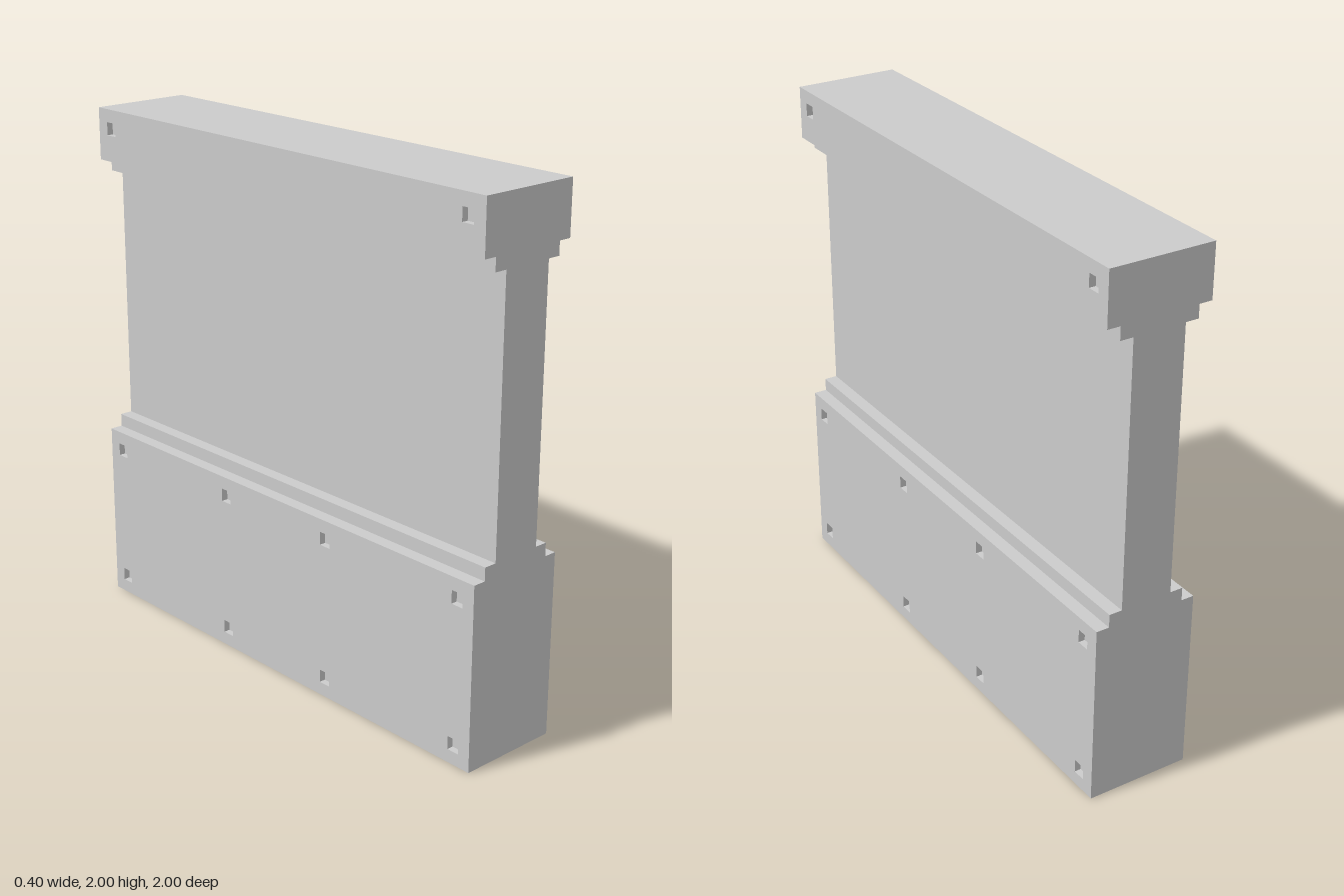
import * as THREE from 'three';

const LENGTH = 2, HOLE = 0.05, DEPTH = 0.025;
const material = new THREE.MeshStandardMaterial({ color: 0xcccccc, flatShading: true });

function rectangle(Type, cx, cy, w, h) {
  return new Type([[-1, -1], [1, -1], [1, 1], [-1, 1]]
    .map(([u, v]) => new THREE.Vector2(cx + u * w / 2, cy + v * h / 2)));
}

// Inward-facing box without its +z side
function pocketGeometry() {
  const box = new THREE.BoxGeometry(HOLE, HOLE, DEPTH).scale(-1, 1, 1);
  const index = Array.from(box.index.array);
  index.splice(24, 6);
  box.setIndex(index);
  const open = box.toNonIndexed();
  open.computeVertexNormals();
  return open;
}

function add(parent, geometry, name) {
  const mesh = new THREE.Mesh(geometry, material);
  mesh.name = name;
  parent.add(mesh);
  return mesh;
}

export function createModel() {
  const wall = new THREE.Group();
  wall.name = 'wallSegment';

  // Stepped cross-section: right half going up, left half mirrored going down
  const right = [[0.2, 0], [0.2, 0.7], [0.15, 0.7], [0.15, 0.75], [0.1, 0.75],
    [0.1, 1.75], [0.15, 1.75], [0.15, 1.8], [0.2, 1.8], [0.2, 2]];
  const left = right.map(([x, y]) => [-x, y]).reverse();
  const profile = [...right, ...left].map(([x, y]) => new THREE.Vector2(x, y));

  // End faces
  const endShape = new THREE.Shape(profile);
  for (const side of [1, -1]) {
    const end = add(wall, new THREE.ShapeGeometry(endShape), side > 0 ? 'frontEnd' : 'backEnd');
    end.position.z = side * LENGTH / 2;
    if (side < 0) end.rotation.y = Math.PI;
  }

  // Square sockets, as [z, y], on the outer faces of both sides
  const sockets = [];
  for (const s of [1, -1]) {
    sockets.push([s * 0.925, 1.925]);
    for (const y of [0.075, 0.625]) sockets.push([s * 0.925, y], [s * 0.275, y]);
  }

  // One long panel per edge of the cross-section
  const pocket = pocketGeometry();
  profile.forEach((a, i) => {
    const b = profile[(i + 1) % profile.length];
    const t = b.clone().sub(a).normalize();
    const mid = a.clone().add(b).multiplyScalar(0.5);
    const panel = new THREE.Group();
    const outer = Math.abs(mid.x) > 0.19;
    panel.name = outer ? 'socketPanel' : 'longPanel';
    panel.applyMatrix4(new THREE.Matrix4().makeBasis(
      new THREE.Vector3(0, 0, -1),
      new THREE.Vector3(t.x, t.y, 0),
      new THREE.Vector3(t.y, -t.x, 0)
    ).setPosition(mid.x, mid.y, 0));

    const shape = rectangle(THREE.Shape, 0, 0, LENGTH, a.distanceTo(b));
    if (outer) {
      for (const [z, y] of sockets) {
        if (y < Math.min(a.y, b.y) || y > Math.max(a.y, b.y)) continue;
        const v = (y - mid.y) * t.y;
        shape.holes.push(rectangle(THREE.Path, -z, v, HOLE, HOLE));
        add(panel, pocket, 'socket').position.set(-z, v, -DEPTH / 2);
      }
    }
    add(panel, new THREE.ShapeGeometry(shape), 'panelFace');
    wall.add(panel);
  });

  return wall;
}
